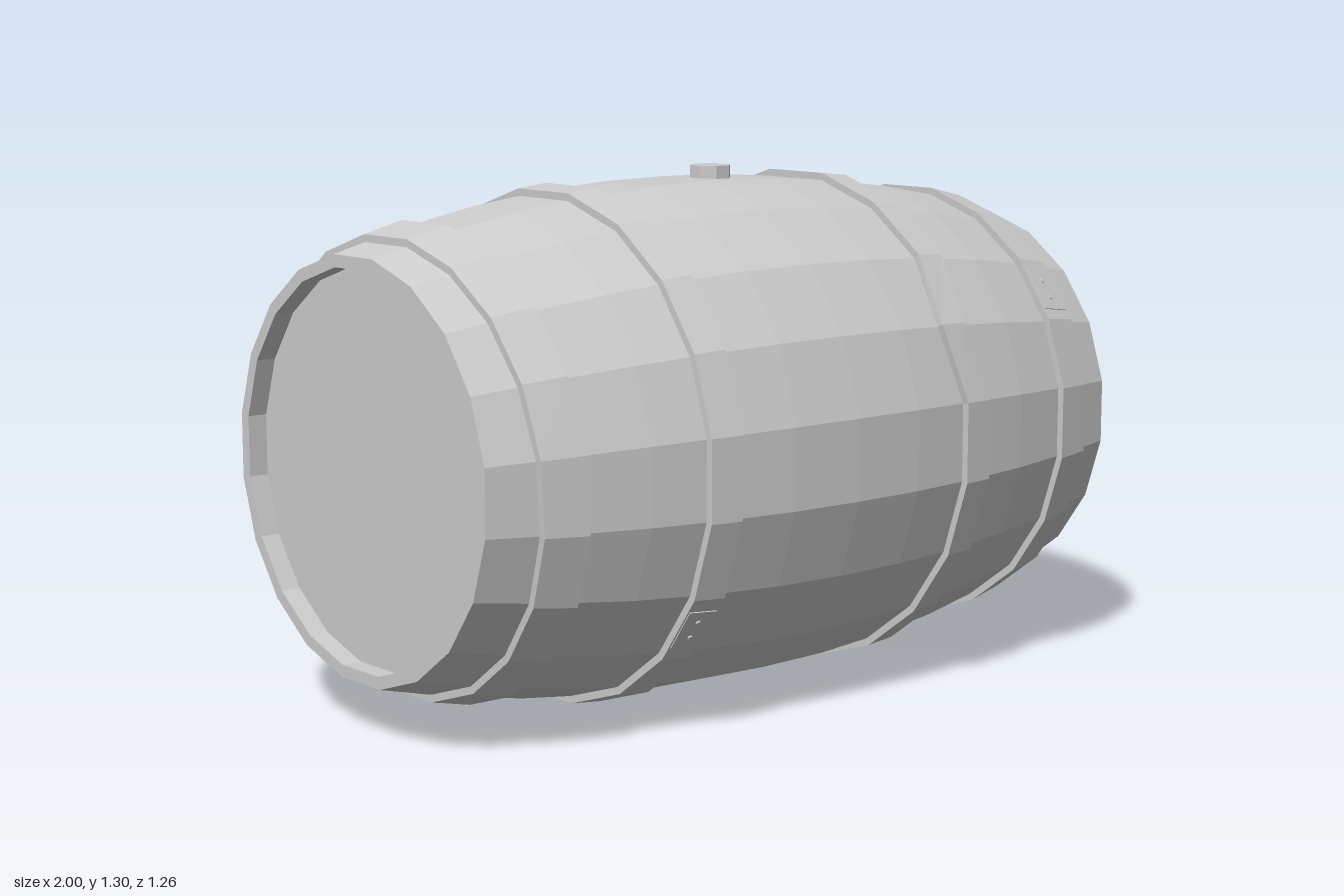
import * as THREE from 'three';

const SIDES = 20;
const AXIS_Y = 0.635;
const STEP = (Math.PI * 2) / SIDES;
const TO_CORNER = 1 / Math.cos(STEP / 2);
// Half-profile of the bulging body: [distance from middle, distance to a flat side]
const BULGE = [[0, 0.63], [0.2, 0.626], [0.4, 0.611], [0.6, 0.586], [0.8, 0.549], [1, 0.5]];

function bulgeAt(x) {
  const d = Math.min(Math.abs(x), 0.9999);
  const i = Math.floor(d / 0.2);
  return THREE.MathUtils.lerp(BULGE[i][1], BULGE[i + 1][1], d / 0.2 - i);
}

// Faceted skin around the x axis; each row maps an angle to [x, flat radius]
function facetedSkin(rows) {
  const positions = [];
  const point = (row, i) => {
    const a = ((i % SIDES) + 0.5) * STEP;
    const [x, flat] = row(a);
    const r = flat * TO_CORNER;
    return [x, r * Math.sin(a), r * Math.cos(a)];
  };
  for (let j = 0; j < rows.length - 1; j++) {
    for (let i = 0; i < SIDES; i++) {
      const a = point(rows[j], i), b = point(rows[j + 1], i);
      const c = point(rows[j + 1], i + 1), d = point(rows[j], i + 1);
      positions.push(...a, ...b, ...c, ...a, ...c, ...d);
    }
  }
  const geometry = new THREE.BufferGeometry();
  geometry.setAttribute('position', new THREE.Float32BufferAttribute(positions, 3));
  geometry.computeVertexNormals();
  return geometry;
}

export function createModel() {
  const barrel = new THREE.Group();
  barrel.name = 'barrel';
  const grey = new THREE.MeshStandardMaterial({ color: 0xcccccc });
  grey.name = 'plain grey';

  const body = new THREE.Group();
  body.name = 'body';
  body.position.y = AXIS_Y;
  barrel.add(body);

  const add = (parent, name, geometry) => {
    const mesh = new THREE.Mesh(geometry, grey);
    mesh.name = name;
    parent.add(mesh);
    return mesh;
  };

  // Staves, with the rims turned inward at both ends
  const half = BULGE.concat([[1, 0.47], [0.95, 0.47]]);
  const profile = [...half.slice(1).reverse().map(([x, r]) => [-x, r]), ...half];
  add(body, 'staves', facetedSkin(profile.map((p) => () => p)));

  // Recessed flat heads
  for (const side of [-1, 1]) {
    const head = add(body, side > 0 ? 'leftHead' : 'rightHead',
      new THREE.CircleGeometry(0.47 * TO_CORNER, SIDES, STEP / 2));
    head.rotation.y = (side * Math.PI) / 2;
    head.position.x = side * 0.95;
  }

  // Iron hoops: one sits crooked, one is knocked sideways at a single corner
  const hoops = [
    { name: 'crookedHoop', x: -0.832, width: 0.108, lap: 180,
      shift: (a) => -0.024 * Math.sin(a) + 0.008 * Math.cos(a) },
    { name: 'rightMiddleHoop', x: -0.412, width: 0.085, lap: -36, shift: () => 0 },
    { name: 'dentedHoop', x: 0.406, width: 0.085, lap: -90,
      shift: (a) => (Math.abs(a - 1.5 * STEP) < 0.01 ? -0.034 : 0) },
    { name: 'leftEndHoop', x: 0.826, width: 0.11, lap: 36, shift: () => 0 },
  ];
  const THICK = 0.018;
  for (const { name, x, width, lap, shift } of hoops) {
    const row = (offset, lift) => (a) => {
      const px = x + offset + shift(a);
      return [px, bulgeAt(px) + lift];
    };
    const w = width / 2;
    add(body, name, facetedSkin([row(-w, -0.006), row(-w, THICK), row(w, THICK), row(w, -0.006)]));

    // Overlapping end of the hoop with two rivets
    const angle = THREE.MathUtils.degToRad(lap);
    const joint = new THREE.Group();
    joint.name = name + 'Joint';
    joint.rotation.x = Math.PI / 2 - angle;
    const seat = new THREE.Group();
    seat.name = name + 'Lap';
    seat.position.set(x + shift(angle), bulgeAt(x) + THICK, 0);
    seat.rotation.z = Math.atan2(bulgeAt(x + w) - bulgeAt(x - w), width);
    joint.add(seat);
    add(seat, 'lapPlate', new THREE.BoxGeometry(width * 0.9, 0.004, 0.12));
    for (const z of [-0.025, 0.025]) {
      const rivet = add(seat, 'rivet', new THREE.CylinderGeometry(0.006, 0.008, 0.006, 6));
      rivet.position.set(0, 0.003, z);
    }
    body.add(joint);
  }

  // Bung on top
  const bungGeometry = new THREE.CylinderGeometry(0.053, 0.053, 0.05, 8).toNonIndexed();
  bungGeometry.computeVertexNormals();
  const bung = add(barrel, 'bung', bungGeometry);
  bung.position.set(0.073, 1.271, 0);
  bung.rotation.y = Math.PI / 8;

  return barrel;
}
